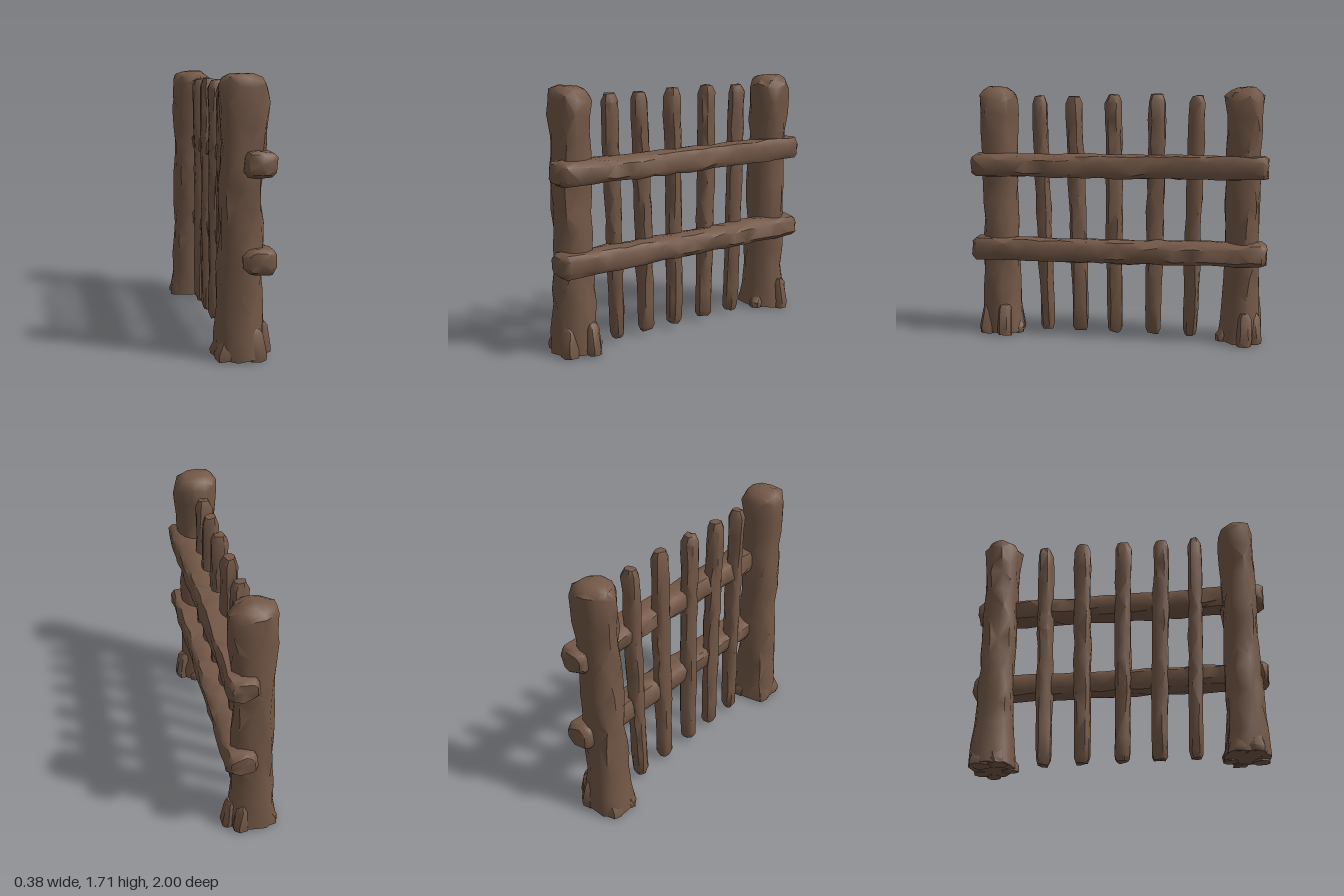
import * as THREE from 'three';
import { toCreasedNormals } from 'three/addons/utils/BufferGeometryUtils.js';

const wood = new THREE.MeshStandardMaterial({ color: 0x735847 });
wood.name = 'darkWood';

function seeded(seed) {
  let s = seed * 7919 + 17;
  return () => {
    s = (s * 16807) % 2147483647;
    return s / 2147483647;
  };
}

// Gnarled log along y. Sections are [y, centreX, centreZ, radiusX, radiusZ], bottom to top.
function logGeometry(sections, { sides = 8, step = 0.12, rough = 0.1, square = 0.8, seed = 1 }) {
  const rand = seeded(seed);
  for (let i = 0; i < 5; i++) rand();
  const rings = [];
  sections.forEach((a, i) => {
    const b = sections[i + 1];
    if (!b) return rings.push(a);
    const n = Math.max(1, Math.round((b[0] - a[0]) / step));
    for (let k = 0; k < n; k++) rings.push(a.map((v, j) => v + ((b[j] - v) * k) / n));
  });
  const pos = [], index = [];
  const soft = (v) => Math.sign(v) * Math.abs(v) ** square;
  const phase = rand() * 6;
  rings.forEach(([y, cx, cz, rx, rz], r) => {
    const end = r === 0 || r === rings.length - 1;
    for (let s = 0; s < sides; s++) {
      const a = ((s + 0.5) / sides) * Math.PI * 2 + (rand() - 0.5) * 0.25;
      // long ridges along the grain plus local knocks
      const k = 1 + rough * (0.35 * Math.sin(a * 3 + phase + y * 2) + (rand() - 0.5) * 1.5);
      const dy = (rand() - 0.5) * (end ? 0.012 : step * 0.5);
      const edge = r === 1 || r === rings.length - 2 ? 0.3 : 1;
      pos.push(cx + rx * k * soft(Math.cos(a)), y + dy * edge, cz + rz * k * soft(Math.sin(a)));
    }
  });
  for (let r = 0; r < rings.length - 1; r++) {
    for (let s = 0; s < sides; s++) {
      const a = r * sides + s, b = r * sides + ((s + 1) % sides);
      const c = a + sides, d = b + sides;
      if ((r + s) % 2) index.push(a, c, b, b, c, d);
      else index.push(a, c, d, a, d, b);
    }
  }
  // end caps
  const first = rings[0], last = rings[rings.length - 1];
  const low = pos.length / 3, top = (rings.length - 1) * sides;
  pos.push(first[1], first[0], first[2], last[1], last[0] + 0.005, last[2]);
  for (let s = 0; s < sides; s++) {
    const t = (s + 1) % sides;
    index.push(low, s, t, low + 1, top + t, top + s);
  }
  const g = new THREE.BufferGeometry();
  g.setAttribute('position', new THREE.Float32BufferAttribute(pos, 3));
  g.setIndex(index);
  return toCreasedNormals(g, 0.85);
}

function addLog(parent, name, sections, options) {
  const mesh = new THREE.Mesh(logGeometry(sections, options), wood);
  mesh.name = name;
  parent.add(mesh);
  return mesh;
}

export function createModel() {
  const model = new THREE.Group();
  model.name = 'woodenFence';

  // end posts with flared feet and root stubs
  for (const side of [1, -1]) {
    const post = new THREE.Group();
    post.name = side > 0 ? 'frontPost' : 'backPost';
    const z = side * 0.83;
    addLog(post, 'postTrunk', [
      [0.01, -0.02, z - side * 0.01, 0.16, 0.145],
      [0.16, -0.02, z, 0.15, 0.135],
      [0.32, -0.02, z, 0.14, 0.125],
      [0.8, -0.01, z, 0.13, 0.115],
      [1.05, -0.015, z, 0.125, 0.12],
      [1.4, 0, z + side * 0.005, 0.14, 0.115],
      [1.62, 0, z + side * 0.005, 0.145, 0.125],
      [1.675, -0.01, z + side * 0.01, 0.12, 0.1],
      [1.7, -0.01, z + side * 0.015, 0.075, 0.06],
    ], { sides: 12, rough: 0.11, square: 0.85, seed: side > 0 ? 3 : 8 });

    // roots: [x, z offset, height, lean x, lean z, radius]
    const roots = [
      [0.14, -0.05 + (side < 0 ? 0.02 : 0), 0.21, -0.02, 0, 0.05],
      [0.07, side * 0.085, 0.2, -0.02, -side * 0.01, 0.06],
      [0.04, -side * 0.11, 0.13, -0.02, side * 0.03, 0.055],
      [-0.12, -side * 0.06, 0.2, 0.04, side * 0.03, 0.07],
      [-0.11, side * 0.05, 0.17, 0.04, -side * 0.02, 0.075],
    ];
    roots.forEach(([x, dz, h, lx, lz, r], i) => {
      addLog(post, 'root', [
        [0.005, x, z + dz, r * 0.9, r * 0.95],
        [0.04, x, z + dz, r, r],
        [h - 0.03, x + lx, z + dz + lz, r * 0.85, r * 0.9],
        [h, x + lx, z + dz + lz, r * 0.55, r * 0.6],
      ], { sides: 7, rough: 0.12, seed: 20 + i + side * 7 });
    });
    model.add(post);
  }

  // pickets: [bottom z, top z, top height, half width]
  const pickets = [
    [0.505, 0.545, 1.64, 0.05],
    [0.27, 0.31, 1.635, 0.057],
    [0.03, 0.04, 1.65, 0.056],
    [-0.235, -0.255, 1.655, 0.06],
    [-0.49, -0.525, 1.645, 0.055],
  ];
  pickets.forEach(([z0, z1, h, w], i) => {
    addLog(model, 'picket', [
      [0.025, 0, z0, 0.035, w * 0.65],
      [0.06, 0, z0, 0.05, w * 0.92],
      [0.5, 0.005, z0 + (z1 - z0) * 0.3, 0.055, w],
      [1.1, 0.005, z0 + (z1 - z0) * 0.7, 0.055, w],
      [h - 0.05, 0, z1, 0.055, w],
      [h, 0, z1, 0.035, w * 0.65],
    ], { sides: 8, step: 0.13, rough: 0.13, seed: 41 + i * 3 });
  });

  // horizontal rails, modelled upright then laid along z
  [1.18, 0.605].forEach((y, i) => {
    const rail = addLog(model, i ? 'lowerRail' : 'upperRail', [
      [-0.995, 0.075, 0, 0.075, 0.062],
      [-0.965, 0.075, 0, 0.1, 0.08],
      [-0.7, 0.075, 0, 0.1, 0.08],
      [0, 0.075, 0.005, 0.095, 0.08],
      [0.6, 0.075, 0.005, 0.1, 0.08],
      [0.965, 0.075, 0, 0.1, 0.08],
      [0.995, 0.075, 0, 0.075, 0.062],
    ], { sides: 10, step: 0.1, rough: 0.1, square: 0.6, seed: 61 + i * 9 });
    rail.rotation.x = Math.PI / 2;
    rail.position.y = y;
  });

  return model;
}
